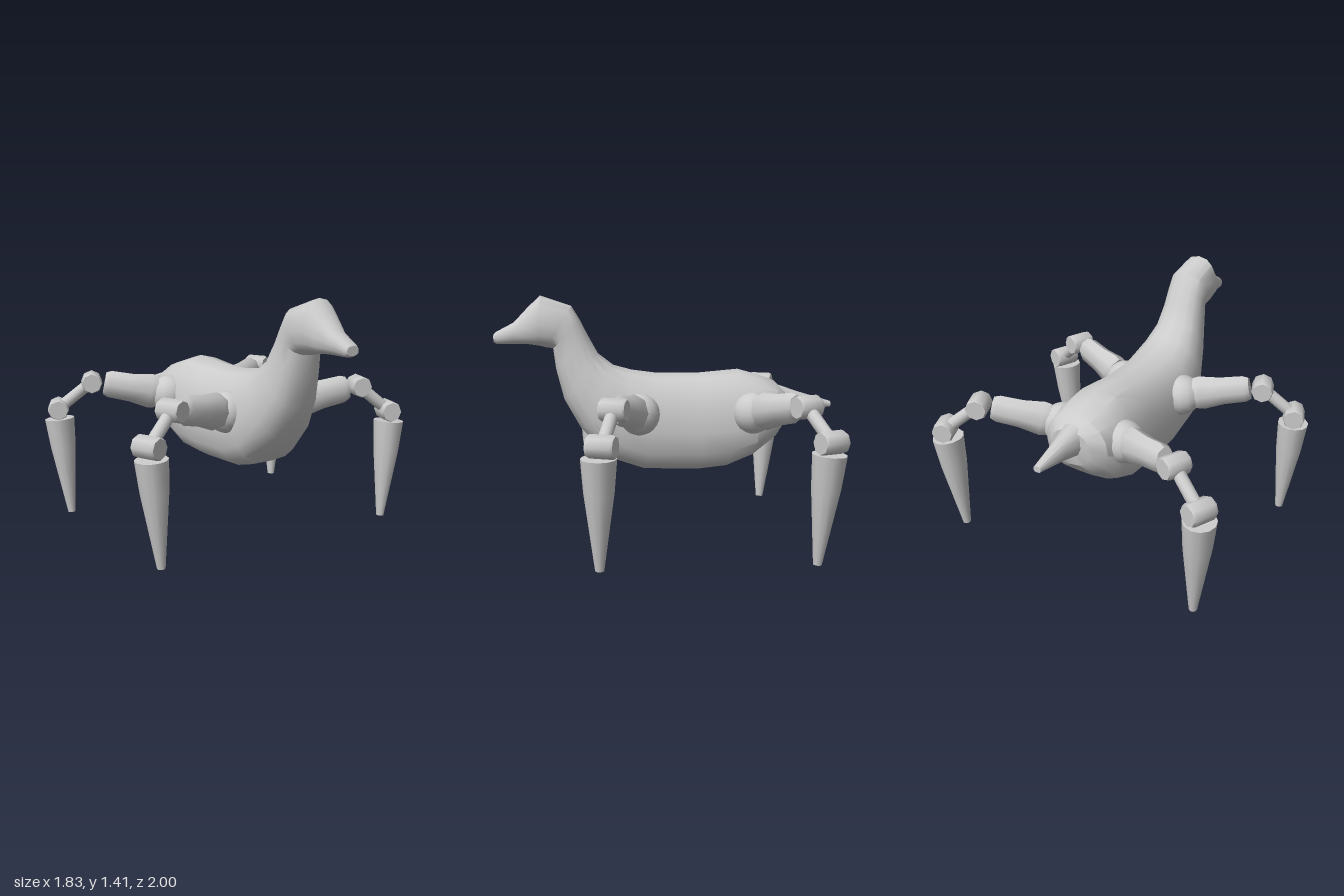
import * as THREE from 'three';
import { toCreasedNormals } from 'three/addons/utils/BufferGeometryUtils.js';

const material = new THREE.MeshStandardMaterial({ color: 0xcccccc });
const V = (x, y, z) => new THREE.Vector3(x, y, z);

function part(name, geometry, crease = 0.6) {
  const mesh = new THREE.Mesh(toCreasedNormals(geometry, crease), material);
  mesh.name = name;
  return mesh;
}

// Skin over rings: [topZ, topY, bottomZ, bottomY, halfWidth, belly shift of the widest point]
function loft(rings, sides = 16) {
  const pos = [], index = [];
  const round = (v) => Math.sign(v) * Math.abs(v) ** 0.82;
  for (const [tz, ty, bz, by, w, low] of rings) {
    for (let j = 0; j < sides; j++) {
      const a = (j / sides) * Math.PI * 2;
      const t = (1 + round(Math.cos(a))) / 2;
      const drop = low * Math.sin(a) ** 2;
      pos.push(w * round(Math.sin(a)), by + (ty - by) * t - drop, bz + (tz - bz) * t);
    }
  }
  const last = rings.length - 1;
  for (let i = 0; i < last; i++) {
    for (let j = 0; j < sides; j++) {
      const a = i * sides + j, b = i * sides + (j + 1) % sides;
      index.push(a, a + sides, b, b, a + sides, b + sides);
    }
  }
  // end caps
  for (const r of [0, last]) {
    const [tz, ty, bz, by] = rings[r];
    const c = pos.length / 3;
    pos.push(0, (ty + by) / 2, (tz + bz) / 2);
    for (let j = 0; j < sides; j++) {
      const a = r * sides + j, b = r * sides + (j + 1) % sides;
      if (r === 0) index.push(c, a, b);
      else index.push(c, b, a);
    }
  }
  const g = new THREE.BufferGeometry();
  g.setAttribute('position', new THREE.Float32BufferAttribute(pos, 3));
  g.setIndex(index);
  return g;
}

// Solid of revolution from a to b; stages are [fraction of length, radius], flat narrows it sideways
function limb(name, a, b, stages, sides, flat = 1) {
  const dir = b.clone().sub(a), length = dir.length();
  dir.normalize();
  const pts = stages.map(([t, r]) => new THREE.Vector2(r, t * length));
  pts.unshift(new THREE.Vector2(0, pts[0].y));
  pts.push(new THREE.Vector2(0, pts[pts.length - 1].y));
  const ref = Math.abs(dir.y) > 0.9 ? V(0, 0, 1) : V(0, 1, 0);
  const side = dir.clone().cross(ref).normalize();
  const g = new THREE.LatheGeometry(pts, sides);
  g.scale(flat, 1, 1);
  g.applyMatrix4(new THREE.Matrix4().makeBasis(side, dir, side.clone().cross(dir)).setPosition(a));
  return part(name, g, 0.9);
}

function leg(name, s, { hip, thighEnd, knee, ankle, footTop, tip }) {
  const group = new THREE.Group();
  group.name = name;
  const P = ([x, y, z]) => V(x * s, y, z);
  const H = P(hip), T = P(thighEnd), K = P(knee), A = P(ankle);

  // hip ball
  const ball = part('hip', new THREE.SphereGeometry(0.12, 16, 12), 0.9);
  ball.position.copy(H);
  group.add(ball);

  // thigh flares at the hip and slightly at the knee
  const start = H.clone().lerp(T, 0.2);
  group.add(limb('thigh', start, T, [[0, 0.1], [0.12, 0.108], [0.5, 0.088], [0.9, 0.084], [1, 0.07]], 8, 0.78));

  // hinge barrels lie across the leg
  const across = V(A.x - K.x, 0, A.z - K.z).cross(V(0, 1, 0)).normalize();
  const barrel = (label, c, half, r) => limb(label,
    c.clone().addScaledVector(across, -half), c.clone().addScaledVector(across, half),
    [[0, r * 0.9], [0.1, r], [0.9, r], [1, r * 0.9]], 8);
  group.add(barrel('knee', K, 0.072, 0.064));
  group.add(limb('shin', K, A, [[0, 0.036], [1, 0.036]], 10));
  group.add(barrel('ankle', A, 0.075, 0.064));

  // tapered spike foot
  group.add(limb('foot', P(footTop), P(tip),
    [[0, 0.094], [0.3, 0.08], [0.65, 0.052], [1, 0.024]], 12, 0.95));
  return group;
}

export function createModel() {
  const model = new THREE.Group();

  // body, neck, head and beak in one skin
  model.add(part('body', loft([
    [-0.71, 0.84, -0.70, 0.63, 0.12, 0],
    [-0.65, 0.90, -0.64, 0.56, 0.20, 0.02],
    [-0.54, 0.94, -0.51, 0.46, 0.23, 0.04],
    [-0.43, 0.97, -0.35, 0.395, 0.235, 0.05],
    [-0.20, 0.95, -0.18, 0.375, 0.22, 0.05],
    [0.05, 0.95, 0.14, 0.385, 0.22, 0.05],
    [0.20, 0.97, 0.33, 0.45, 0.225, 0.04],
    [0.31, 1.0, 0.50, 0.62, 0.195, 0.01],
    [0.40, 1.07, 0.60, 0.80, 0.155, 0],
    [0.46, 1.18, 0.645, 0.98, 0.13, 0],
    [0.50, 1.26, 0.66, 1.10, 0.12, 0],
    [0.55, 1.345, 0.70, 1.105, 0.122, 0],
    [0.73, 1.405, 0.74, 1.115, 0.118, 0.02],
    [0.80, 1.34, 0.81, 1.125, 0.095, 0.02],
    [0.885, 1.25, 0.885, 1.125, 0.064, 0],
    [0.99, 1.195, 0.98, 1.125, 0.045, 0],
    [1.0, 1.185, 1.0, 1.135, 0.038, 0],
  ]), 0.65));

  // tail spike
  model.add(part('tail', loft([
    [-1.0, 0.77, -1.0, 0.735, 0.024, 0],
    [-0.80, 0.83, -0.82, 0.71, 0.048, 0],
    [-0.60, 0.90, -0.62, 0.67, 0.085, 0],
  ], 10), 0.8));

  // four legs
  const front = {
    hip: [0.2, 0.73, 0.17], thighEnd: [0.58, 0.81, 0.305], knee: [0.65, 0.82, 0.33],
    ankle: [0.83, 0.66, 0.40], footTop: [0.825, 0.6, 0.415], tip: [0.78, 0, 0.415],
  };
  const rear = {
    hip: [0.2, 0.73, -0.49], thighEnd: [0.56, 0.81, -0.665], knee: [0.63, 0.82, -0.70],
    ankle: [0.82, 0.66, -0.785], footTop: [0.82, 0.6, -0.775], tip: [0.78, 0, -0.735],
  };
  for (const [side, s] of [['left', 1], ['right', -1]]) {
    model.add(leg(side + 'FrontLeg', s, front), leg(side + 'RearLeg', s, rear));
  }
  return model;
}
